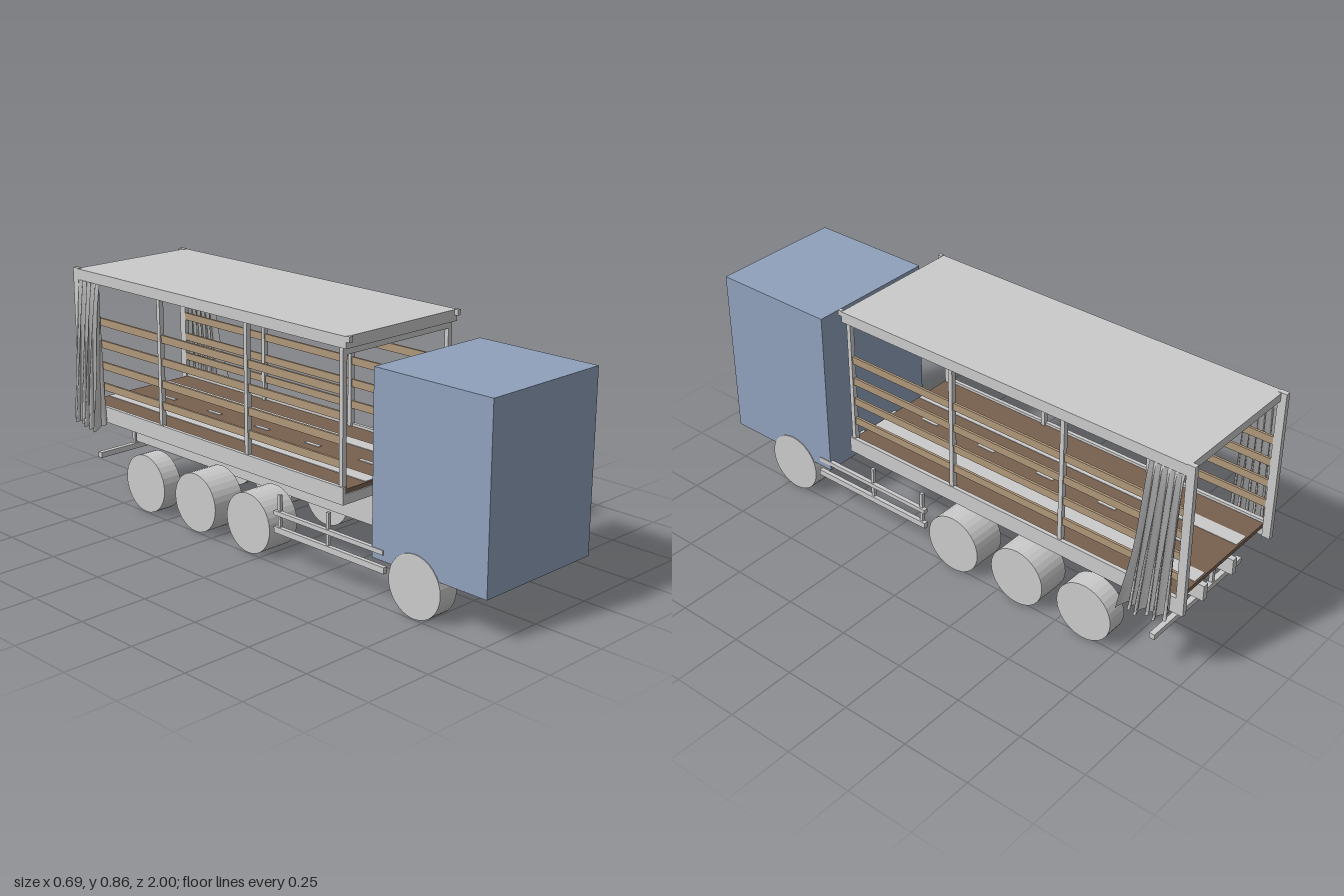
import * as THREE from 'three';

export function createModel() {
  const mat = (name, color) => {
    const m = new THREE.MeshStandardMaterial({ color });
    m.name = name;
    return m;
  };
  const grey = mat('body grey', 0xcbcbcb);
  const blue = mat('cab blue', 0x8fa1bc);
  const floorBrown = mat('floor brown', 0x78604f);
  const slatTan = mat('slat tan', 0xb0977a);
  const cloth = mat('curtain grey', 0xcacaca);
  cloth.side = THREE.DoubleSide;

  const root = new THREE.Group();
  root.name = 'curtainTruck';
  const body = new THREE.Group();
  body.name = 'truckBody';
  body.position.x = 0.008;
  root.add(body);

  // box given by its min/max corners
  const box = (name, m, x0, x1, y0, y1, z0, z1) => {
    const mesh = new THREE.Mesh(new THREE.BoxGeometry(x1 - x0, y1 - y0, z1 - z0), m);
    mesh.position.set((x0 + x1) / 2, (y0 + y1) / 2, (z0 + z1) / 2);
    mesh.name = name;
    body.add(mesh);
    return mesh;
  };
  // the same box on both sides
  const pair = (name, m, x0, x1, ...r) => {
    box(name + 'Left', m, x0, x1, ...r);
    box(name + 'Right', m, -x1, -x0, ...r);
  };

  // cab
  box('cab', blue, -0.251, 0.251, 0.155, 0.785, 0.525, 1);

  // wheels: single front and tail axles, twin tyres on the middle two
  const wheel = (name, xIn, xOut, z) => {
    for (const s of [1, -1]) {
      const g = new THREE.CylinderGeometry(0.109, 0.109, xOut - xIn, 32).toNonIndexed();
      g.computeVertexNormals();
      const w = new THREE.Mesh(g, grey);
      w.rotation.z = Math.PI / 2;
      w.position.set((s * (xIn + xOut)) / 2, 0.11, z);
      w.name = name;
      body.add(w);
    }
  };
  wheel('frontWheel', 0.177, 0.254, 0.71);
  wheel('tailWheel', 0.177, 0.254, -0.62);
  for (const z of [-0.06, -0.34]) {
    wheel('outerTwinWheel', 0.189, 0.254, z);
    wheel('innerTwinWheel', 0.125, 0.189, z);
  }

  // chassis rails with the sub-frame on top
  pair('chassisRail', grey, 0.074, 0.096, 0.18, 0.24, -0.87, 0.54);
  pair('subFrame', grey, 0.074, 0.096, 0.24, 0.3, -0.97, 0.4);

  // floor planks, grey load strips, lashing slots and cross members
  box('floor', floorBrown, -0.247, 0.247, 0.335, 0.35, -0.97, 0.4);
  for (const x of [-0.12, 0.12]) {
    box('loadStrip', grey, x - 0.028, x + 0.028, 0.35, 0.352, -0.965, 0.395);
  }
  for (let i = 0; i < 5; i++) {
    const z = -0.78 + i * 0.26;
    box('lashingSlot', grey, -0.008, 0.008, 0.35, 0.352, z - 0.035, z + 0.035);
  }
  for (let i = 0; i < 14; i++) {
    const z = -0.93 + i * 0.1;
    box('crossMember', grey, -0.247, 0.247, 0.3, 0.335, z - 0.008, z + 0.008);
  }
  pair('sideBeam', grey, 0.247, 0.2615, 0.3, 0.36, -0.97, 0.405);
  box('frontSill', grey, -0.247, 0.247, 0.3, 0.335, 0.395, 0.405);

  // roof skin, edge rails and ribs
  box('roofSkin', grey, -0.2615, 0.2615, 0.854, 0.86, -0.98, 0.415);
  pair('roofRail', grey, 0.245, 0.2615, 0.82, 0.854, -0.98, 0.415);
  box('roofFrontEdge', grey, -0.245, 0.245, 0.82, 0.854, 0.4, 0.415);
  box('roofRearEdge', grey, -0.245, 0.245, 0.83, 0.854, -0.98, -0.968);
  box('frontHeader', grey, -0.24, 0.24, 0.795, 0.84, 0.384, 0.398);
  for (let i = 0; i < 12; i++) {
    const z = -0.87 + i * 0.108;
    box('roofRib', grey, -0.245, 0.245, 0.842, 0.854, z - 0.005, z + 0.005);
  }
  for (const x of [-0.13, 0, 0.13]) {
    box('roofStringer', grey, x - 0.004, x + 0.004, 0.845, 0.854, -0.968, 0.4);
  }
  pair('roofCornerCap', grey, 0.247, 0.2615, 0.842, 0.862, 0.415, 0.43);

  // side posts, rear posts and wooden slats
  for (const z of [0.39, -0.06, -0.515]) {
    pair('sidePost', grey, 0.239, 0.257, 0.34, 0.83, z - 0.008, z + 0.008);
  }
  pair('rearPost', grey, 0.243, 0.2615, 0.3, 0.862, -1, -0.97);
  for (const y of [0.432, 0.512, 0.594, 0.678]) {
    pair('sideSlat', slatTan, 0.243, 0.252, y - 0.014, y + 0.014, -0.97, 0.39);
  }

  // side guards
  pair('guardLowerRail', grey, 0.238, 0.254, 0.113, 0.135, 0.07, 0.58);
  pair('guardUpperRail', grey, 0.238, 0.254, 0.176, 0.192, 0.07, 0.575);
  for (const z of [0.32, 0.09]) {
    pair('guardPost', grey, 0.236, 0.248, 0.12, 0.25, z - 0.006, z + 0.006);
  }

  // rear bumper bar and hangers
  box('rearBumper', grey, -0.255, 0.255, 0.146, 0.167, -0.9, -0.88);
  pair('bumperHanger', grey, 0.079, 0.093, 0.16, 0.245, -0.897, -0.883);

  // gathered curtains: a pleated sheet that flares towards the hem
  const curtain = (side) => {
    const nu = 72, nv = 16, pos = [], idx = [];
    const phase = side > 0 ? 0.4 : 0;
    for (let j = 0; j <= nv; j++) {
      const v = j / nv; // 0 at the top, 1 at the hem
      const flare = Math.pow(v, 0.85);
      for (let i = 0; i <= nu; i++) {
        const u = i / nu; // 0 at the loose edge, 1 at the rear post
        const a = u * Math.PI * 10 + phase + 0.8 * Math.sin(v * 3);
        const pleat = 0.5 + 0.5 * Math.cos(a);
        const reach = 0.084 - 0.028 * u + 0.01 * Math.sin(u * 17 + phase * 4);
        const x = 0.255 + 0.006 * pleat + flare * reach * (0.1 + 0.85 * pleat);
        const z = -0.842 + 0.03 * v * v - u * (0.125 + 0.028 * v * v)
          + 0.009 * flare * Math.sin(2 * a);
        const y = 0.825 - v * (0.53 + 0.012 * (1 - u) * pleat);
        pos.push(side * x, y, z);
        if (i < nu && j < nv) {
          const p = j * (nu + 1) + i, q = p + nu + 1;
          if (side > 0) idx.push(p, q, p + 1, p + 1, q, q + 1);
          else idx.push(p, p + 1, q, p + 1, q + 1, q);
        }
      }
    }
    const g = new THREE.BufferGeometry();
    g.setAttribute('position', new THREE.Float32BufferAttribute(pos, 3));
    g.setIndex(idx);
    g.computeVertexNormals();
    const mesh = new THREE.Mesh(g, cloth);
    mesh.name = side > 0 ? 'curtainLeft' : 'curtainRight';
    body.add(mesh);
  };
  curtain(1);
  curtain(-1);

  return root;
}
